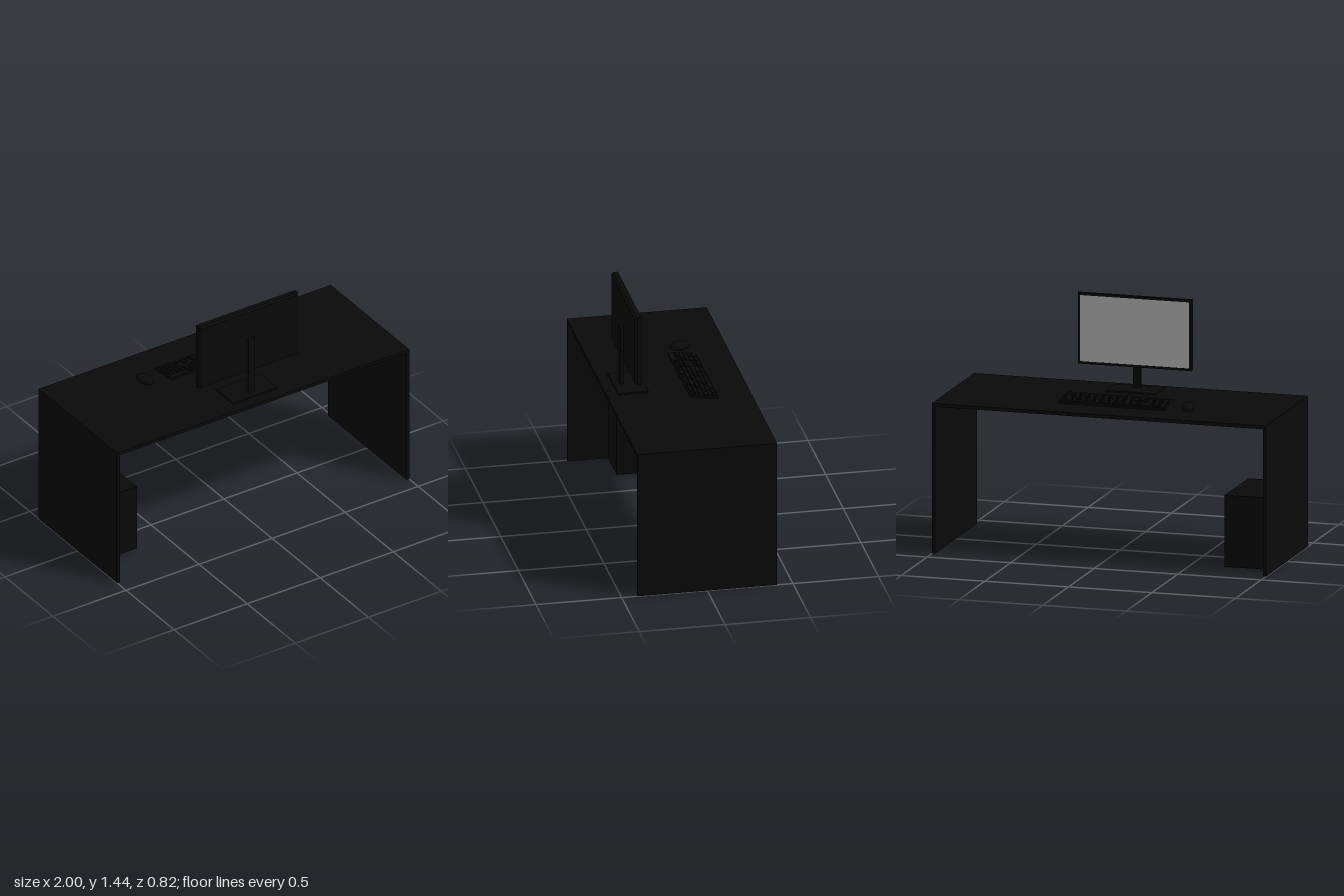
import * as THREE from 'three';

const black = new THREE.MeshStandardMaterial({ color: 0x0a0a0a });
const pale = new THREE.MeshStandardMaterial({ color: 0xcccccc });

function add(parent, name, geometry, material = black) {
  const mesh = new THREE.Mesh(geometry, material);
  mesh.name = name;
  parent.add(mesh);
  return mesh;
}

// Box given by its low and high limits on each axis
function box(parent, name, [x0, x1], [y0, y1], [z0, z1], material) {
  const mesh = add(parent, name, new THREE.BoxGeometry(x1 - x0, y1 - y0, z1 - z0), material);
  mesh.position.set((x0 + x1) / 2, (y0 + y1) / 2, (z0 + z1) / 2);
  return mesh;
}

function group(parent, name) {
  const g = new THREE.Group();
  g.name = name;
  parent.add(g);
  return g;
}

function buildDesk(root) {
  const desk = group(root, 'desk');
  box(desk, 'deskTop', [-1, 1], [0.862, 0.882], [-0.408, 0.408]);
  box(desk, 'rightSidePanel', [-1, -0.982], [0, 0.862], [-0.408, 0.408]);
  box(desk, 'leftSidePanel', [0.982, 1], [0, 0.862], [-0.408, 0.408]);
}

function buildMonitor(root) {
  const monitor = group(root, 'monitor');
  const cx = -0.012, cy = 1.227, w = 0.68, h = 0.416, rim = 0.014;

  // Frame around the recessed screen
  const frame = new THREE.Shape();
  frame.moveTo(-w / 2, -h / 2).lineTo(w / 2, -h / 2).lineTo(w / 2, h / 2).lineTo(-w / 2, h / 2).closePath();
  const hole = new THREE.Path();
  const hw = w / 2 - rim, hh = h / 2 - rim;
  hole.moveTo(-hw, -hh).lineTo(-hw, hh).lineTo(hw, hh).lineTo(hw, -hh).closePath();
  frame.holes.push(hole);
  const bezel = add(monitor, 'screenFrame', new THREE.ExtrudeGeometry(frame, { depth: 0.008, bevelEnabled: false }));
  bezel.position.set(cx, cy, 0.244);
  box(monitor, 'screen', [cx - hw, cx + hw], [cy - hh, cy + hh], [0.246, 0.252], pale);

  // Housing, narrowing a little towards the back
  box(monitor, 'housing', [cx - w / 2, cx + w / 2], [cy - h / 2, cy + h / 2], [0.252, 0.27]);
  const backGeo = new THREE.BoxGeometry(w, h, 0.014);
  const p = backGeo.attributes.position;
  for (let i = 0; i < p.count; i++) {
    if (p.getZ(i) > 0) p.setXY(i, p.getX(i) - Math.sign(p.getX(i)) * 0.01, p.getY(i) - Math.sign(p.getY(i)) * 0.01);
  }
  backGeo.computeVertexNormals();
  add(monitor, 'backCover', backGeo).position.set(cx, cy, 0.277);

  // Stand
  box(monitor, 'standPost', [cx - 0.022, cx + 0.022], [0.89, 1.255], [0.284, 0.304]);
  box(monitor, 'standBase', [cx - 0.15, cx + 0.15], [0.882, 0.892], [0.165, 0.342]);
}

function buildKeyboard(root) {
  const keyboard = group(root, 'keyboard');
  keyboard.position.set(-0.014, 0.9, -0.125);
  // The user sits on the -z side, and the far edge is raised
  keyboard.rotation.set(0.12, Math.PI, 0, 'YXZ');
  box(keyboard, 'keyboardBody', [-0.318, 0.318], [-0.007, 0.005], [-0.083, 0.083]);
  for (const s of [-1, 1]) box(keyboard, 'keyboardFoot', [s * 0.28 - 0.012, s * 0.28 + 0.012], [-0.02, -0.006], [-0.066, -0.058]);

  // Keys: [width] per key, negative widths are gaps
  const ones = (n) => Array(n).fill(1);
  const rows = [
    [1, -1, ...ones(4), -0.5, ...ones(4), -0.5, ...ones(4), -0.25, ...ones(3)],
    [...ones(13), 2, -0.25, ...ones(3), -0.25, ...ones(4)],
    [1.5, ...ones(12), 1.5, -0.25, ...ones(3), -0.25, ...ones(4)],
    [1.75, ...ones(11), 2.25, -3.5, ...ones(4)],
    [2.25, ...ones(10), 2.75, -1.25, 1, -1.25, ...ones(4)],
    [1.25, 1.25, 1.25, 6.25, 1.25, 1.25, 1.25, 1.25, -0.25, ...ones(3), -0.25, 2, 1, 1],
  ];
  const keys = group(keyboard, 'keys');
  const u = 0.0275, v = 0.0255;
  rows.forEach((row, r) => {
    let x = -11.25 * u;
    for (const width of row) {
      const step = Math.abs(width) * u;
      if (width > 0) {
        const z = -0.076 + r * v;
        box(keys, 'key', [x + 0.002, x + step - 0.002], [0.004, 0.013], [z + 0.002, z + v - 0.002]);
      }
      x += step;
    }
  });
}

function buildMouse(root) {
  const mouse = group(root, 'mouse');
  mouse.position.set(-0.45, 0.882, -0.138);
  mouse.rotation.y = 0.2;
  // Rounded shell with a flat underside
  const shell = new THREE.SphereGeometry(1, 32, 20);
  shell.scale(0.037, 0.026, 0.062);
  const p = shell.attributes.position;
  for (let i = 0; i < p.count; i++) p.setY(i, Math.max(p.getY(i), -0.018));
  shell.computeVertexNormals();
  add(mouse, 'mouseShell', shell).position.y = 0.018;
  const wheel = add(mouse, 'scrollWheel', new THREE.CylinderGeometry(0.008, 0.008, 0.006, 16));
  wheel.rotation.z = Math.PI / 2;
  wheel.position.set(0, 0.034, 0.032);
}

// Computer tower under the desk
function buildTower(root) {
  const tower = group(root, 'computerTower');
  box(tower, 'towerCase', [-0.944, -0.713], [0.01, 0.43], [-0.28, 0.176]);
}

export function createModel() {
  const root = new THREE.Group();
  root.name = 'computerDesk';
  buildDesk(root);
  buildMonitor(root);
  buildKeyboard(root);
  buildMouse(root);
  buildTower(root);
  return root;
}
